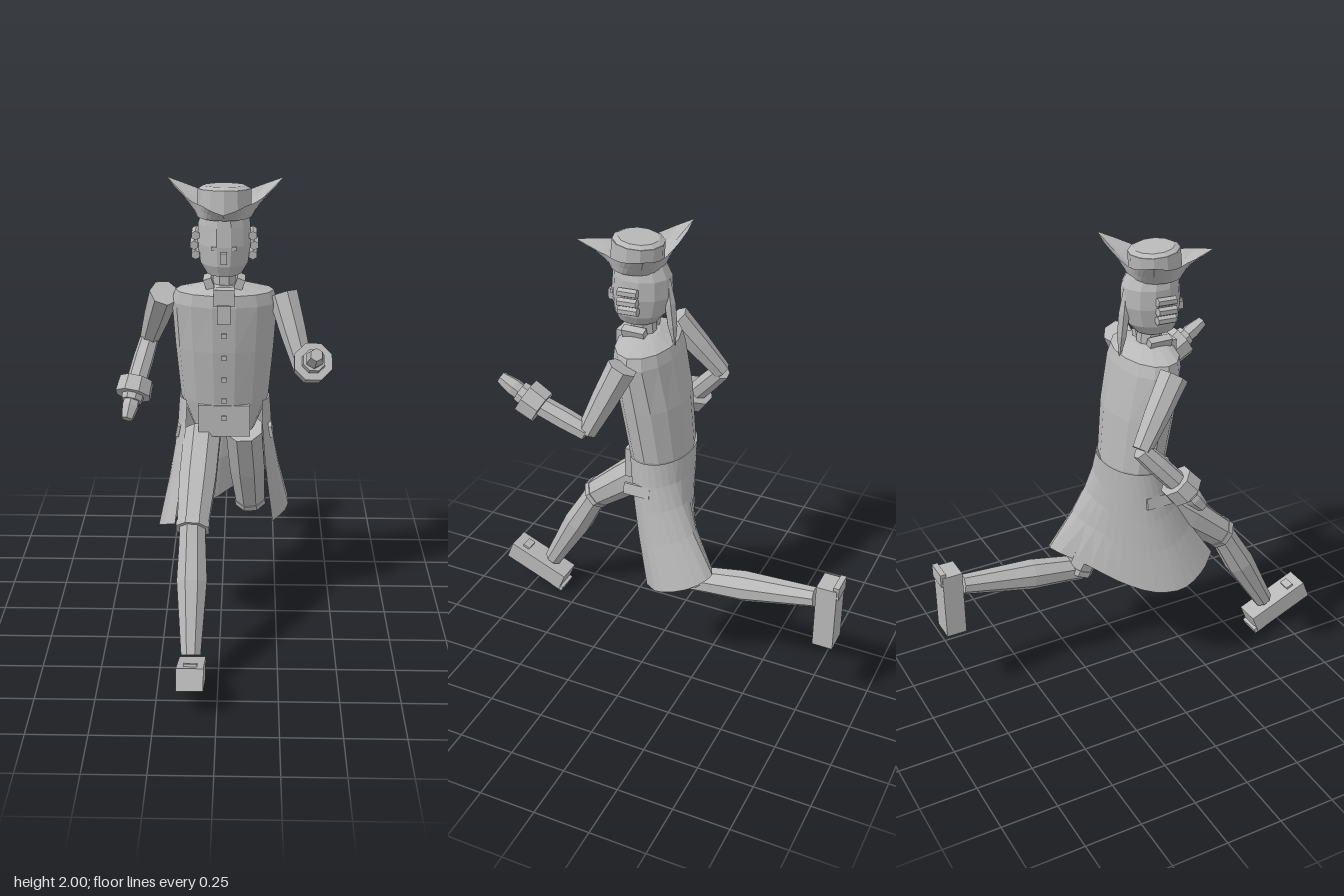
import * as THREE from 'three';

const CX = 0.015; // the body sits slightly to its left
const V = (x, y, z) => new THREE.Vector3(x, y, z);

// Skin a list of equal-length rings; closed rings may be capped.
function loft(rings, closed = true) {
  const n = rings[0].length, pos = [], idx = [];
  rings.forEach(r => r.forEach(p => pos.push(p.x, p.y, p.z)));
  for (let i = 0; i < rings.length - 1; i++) {
    for (let j = 0; j < (closed ? n : n - 1); j++) {
      const k = (j + 1) % n, a = i * n + j, b = i * n + k, c = b + n, d = a + n;
      idx.push(a, b, c, a, c, d);
    }
  }
  if (closed) {
    [0, rings.length - 1].forEach((row, end) => {
      const mid = rings[row].reduce((s, p) => s.add(p), V(0, 0, 0)).divideScalar(n);
      const m = pos.length / 3;
      pos.push(mid.x, mid.y, mid.z);
      for (let j = 0; j < n; j++) {
        const a = row * n + j, b = row * n + (j + 1) % n;
        idx.push(m, end ? a : b, end ? b : a);
      }
    });
  }
  const g = new THREE.BufferGeometry();
  g.setAttribute('position', new THREE.Float32BufferAttribute(pos, 3));
  g.setIndex(idx);
  g.computeVertexNormals();
  return g;
}

// Upright body from [y, half width, half depth, centre z] rows.
function body(rows, sides) {
  return loft(rows.map(([y, rx, rz, cz]) => Array.from({ length: sides }, (_, i) => {
    const a = (i + 0.5) / sides * Math.PI * 2;
    return V(CX + Math.sin(a) * rx, y, cz + Math.cos(a) * rz);
  })));
}

// Straight limb segment; stops are [fraction, radius].
function limb(from, to, stops, sides = 8) {
  const a = V(...from), b = V(...to);
  const t = b.clone().sub(a).normalize();
  const u = V(1, 0, 0).addScaledVector(t, -t.x).normalize();
  const v = t.clone().cross(u);
  return loft(stops.map(([f, r]) => Array.from({ length: sides }, (_, i) => {
    const w = (i + 0.5) / sides * Math.PI * 2;
    return a.clone().lerp(b, f).addScaledVector(u, Math.cos(w) * r).addScaledVector(v, Math.sin(w) * r);
  })));
}

export function createModel() {
  const model = new THREE.Group();
  model.name = 'runningFigure';
  const grey = new THREE.MeshStandardMaterial({ color: 0xb8b8b8, flatShading: true, side: THREE.DoubleSide });
  grey.name = 'plain grey';

  const add = (name, geo, parent = model) => {
    const m = new THREE.Mesh(geo, grey);
    m.name = name;
    parent.add(m);
    return m;
  };
  const box = (name, size, at, parent) => {
    const m = add(name, new THREE.BoxGeometry(...size), parent);
    m.position.set(...at);
    return m;
  };

  // Torso with hips and sloping shoulders
  add('torso', body([
    [0.92, 0.13, 0.11, 0.01], [1.06, 0.188, 0.132, 0.0], [1.3, 0.208, 0.14, 0.03],
    [1.5, 0.22, 0.13, 0.06], [1.55, 0.205, 0.12, 0.065], [1.585, 0.07, 0.065, 0.085],
  ], 14));
  box('waistcoatFlap', [0.22, 0.14, 0.03], [CX, 0.985, 0.115]);

  // Open coat skirt, swept by the stride
  const hem = new THREE.CatmullRomCurve3([
    V(-0.19, 0.58, 0.3), V(-0.25, 0.54, 0.22), V(-0.27, 0.49, 0.11), V(-0.21, 0.47, 0.0),
    V(-0.09, 0.48, -0.1), V(0.05, 0.53, -0.21), V(0.2, 0.57, -0.32), V(0.28, 0.53, -0.25),
    V(0.3, 0.48, -0.11), V(0.23, 0.445, -0.02),
  ]).getPoints(24);
  const skirt = [0, 0.2, 0.4, 0.65, 1].map(t => hem.map((p, i) => {
    const a = -(55 + 250 * i / 24) * Math.PI / 180, f = t ** 1.5;
    const x = CX + Math.sin(a) * 0.195, z = Math.cos(a) * 0.138;
    return V(x + (p.x - x) * f, 1.06 + (p.y - 1.06) * t, z + (p.z - z) * f);
  }));
  add('coatSkirt', loft(skirt, false));
  for (const s of [-1, 1]) {
    const flap = box('pocketFlap', [0.015, 0.05, 0.12], [CX + s * 0.2, 0.92, 0.03]);
    flap.rotation.z = s * 0.2;
  }

  // Buttons, neckcloth and collar
  [[1.0, 0.133], [1.08, 0.132], [1.18, 0.15], [1.28, 0.166], [1.38, 0.178]].forEach(([y, z]) =>
    box('button', [0.02, 0.02, 0.015], [CX, y, z]));
  box('neckcloth', [0.055, 0.08, 0.035], [CX, 1.475, 0.185]);
  box('neckclothKnot', [0.085, 0.07, 0.05], [CX, 1.545, 0.17]);
  for (const s of [-1, 1]) {
    const c = box('collar', [0.035, 0.05, 0.1], [CX + s * 0.062, 1.59, 0.1]);
    c.rotation.z = -s * 0.35;
  }

  // Neck and head
  add('neck', body([[1.56, 0.052, 0.055, 0.085], [1.66, 0.05, 0.052, 0.09]], 8));
  add('head', body([
    [1.635, 0.072, 0.085, 0.11], [1.68, 0.1, 0.115, 0.1], [1.76, 0.112, 0.13, 0.092],
    [1.84, 0.11, 0.125, 0.09], [1.89, 0.095, 0.11, 0.1],
  ], 12));
  box('nose', [0.025, 0.045, 0.035], [CX, 1.72, 0.225]);
  for (const s of [-1, 1]) {
    box('eye', [0.02, 0.016, 0.012], [CX + s * 0.04, 1.755, 0.208]);
    [1.715, 1.755, 1.795].forEach((y, i) => {
      const curl = add('hairCurl', new THREE.CylinderGeometry(0.019, 0.019, 0.085, 6));
      curl.position.set(CX + s * (i === 1 ? 0.122 : 0.116), y, 0.1);
      curl.rotation.x = Math.PI / 2 + 0.05;
    });
  }
  add('ponytail', limb([CX, 1.83, -0.02], [CX, 1.54, -0.052], [[0, 0.014], [0.35, 0.026], [0.7, 0.022], [1, 0.004]], 6));

  // Three-cornered hat
  const crown = add('hatCrown', new THREE.CylinderGeometry(0.108, 0.11, 0.1, 12));
  crown.position.set(CX, 1.93, 0.11);
  crown.rotation.x = -0.08;
  const dome = add('hatTop', new THREE.CylinderGeometry(0.085, 0.108, 0.014, 12));
  dome.position.set(CX, 1.985, 0.106);
  dome.rotation.x = -0.08;
  const brim = [0, 0.5, 1].map(t => Array.from({ length: 37 }, (_, i) => {
    const deg = i * 10, corner = Math.round(deg / 120) % 3;
    const peak = (1 - Math.abs(deg - Math.round(deg / 120) * 120) / 60) ** 2.6;
    const reach = 0.128 + ((corner ? 0.278 : 0.28) - 0.128) * peak;
    const r = 0.112 + (reach - 0.112) * t, a = deg * Math.PI / 180;
    const rise = corner ? 0.06 + 0.07 * peak : 0.06;
    return V(CX + Math.sin(a) * r, 1.87 + rise * t, 0.11 + Math.cos(a) * r);
  }));
  add('hatBrim', loft(brim, false));

  // Arms: shoulder, elbow, wrist and fingertips
  const arm = (name, shoulder, elbow, wrist, tip) => {
    const g = new THREE.Group();
    g.name = name;
    model.add(g);
    add('upperArm', limb(shoulder, elbow, [[0, 0.064], [0.5, 0.056], [1, 0.042]], 7), g);
    add('forearm', limb(elbow, wrist, [[0, 0.042], [0.4, 0.046], [1, 0.045]], 7), g);
    add('cuff', limb(wrist, tip, [[-0.25, 0.076], [0.24, 0.08]]), g);
    add('cuffTrim', limb(wrist, tip, [[0.2, 0.05], [0.42, 0.046]]), g);
    add('hand', limb(wrist, tip, [[0.3, 0.034], [0.6, 0.038], [1, 0.026]], 6), g);
  };
  arm('leftArm', [0.26, 1.53, 0.065], [0.345, 1.245, 0.19], [0.37, 1.345, 0.42], [0.378, 1.43, 0.565]);
  arm('rightArm', [-0.235, 1.53, 0.06], [-0.315, 1.275, -0.13], [-0.372, 1.095, 0.025], [-0.4, 0.985, 0.115]);

  // Legs
  const leg = (name, hip, knee, ankle) => {
    const g = new THREE.Group();
    g.name = name;
    model.add(g);
    add('thigh', limb(hip, knee, [[0, 0.085], [0.5, 0.084], [1, 0.07]]), g);
    add('kneeBand', limb(hip, knee, [[0.96, 0.075], [1.02, 0.075]]), g);
    add('shin', limb(knee, ankle, [[-0.03, 0.058], [0.12, 0.06], [0.42, 0.068], [1, 0.044]]), g);
  };
  leg('rightLeg', [-0.08, 0.9, 0.05], [-0.11, 0.61, 0.395], [-0.11, 0.155, 0.65]);
  leg('leftLeg', [0.1, 0.9, -0.01], [0.13, 0.47, -0.215], [0.137, 0.555, -0.77]);

  // Shoes with heel and buckle
  const shoe = (name, at, tilt) => {
    const g = new THREE.Group();
    g.name = name;
    g.position.set(...at);
    g.rotation.x = tilt;
    model.add(g);
    box('shoeBody', [0.11, 0.09, 0.305], [0, 0, 0], g);
    box('heel', [0.1, 0.025, 0.06], [0, -0.04, -0.138], g);
    box('buckle', [0.056, 0.016, 0.035], [0, 0.047, 0.09], g);
  };
  shoe('rightShoe', [-0.107, 0.112, 0.724], -0.39);
  shoe('leftShoe', [0.136, 0.498, -0.83], Math.PI / 2);

  return model;
}
